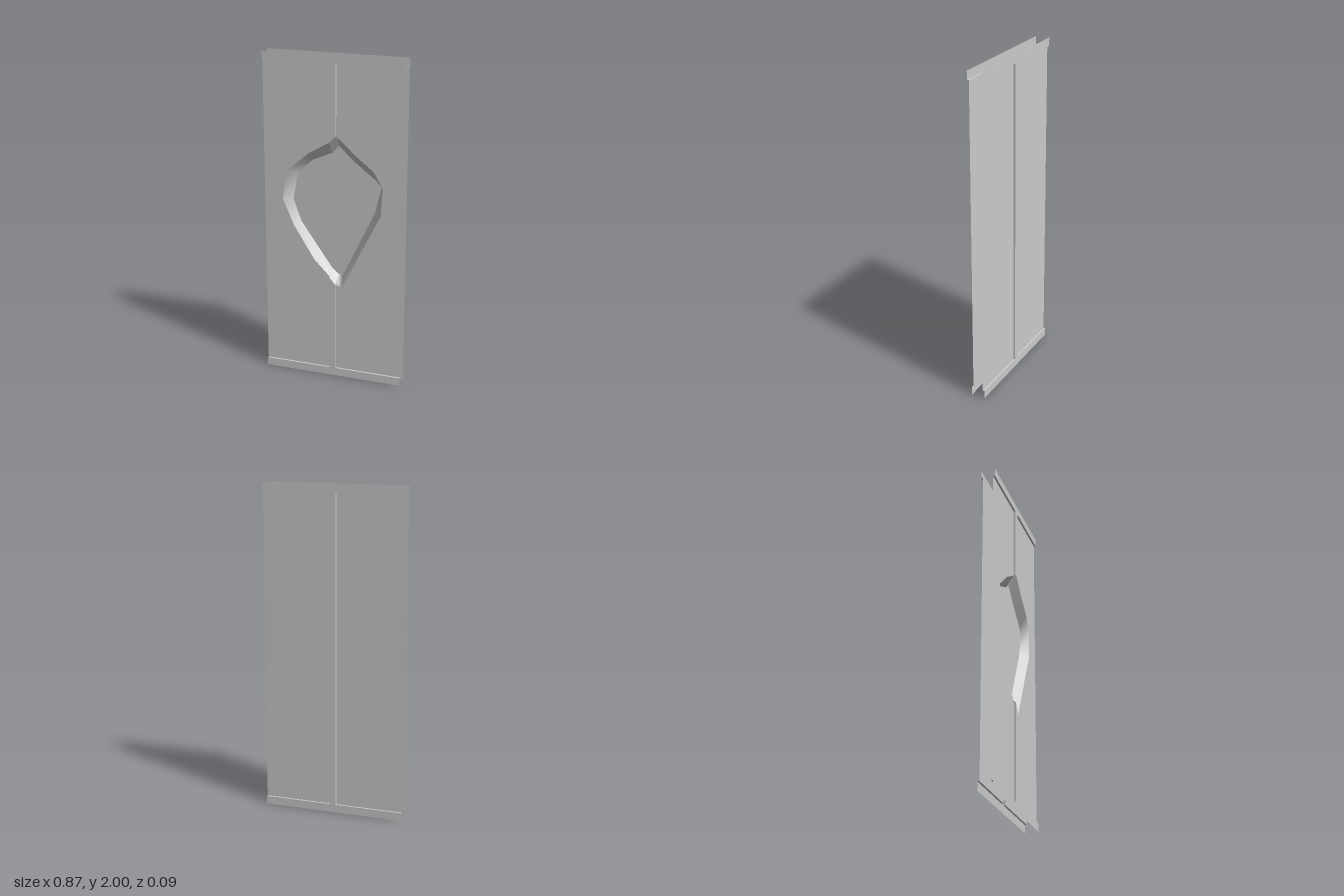
import * as THREE from 'three';

const W = 0.434, H = 2, STRIP = 0.05, POST = 0.02;   // half width, height, strip height, half post width
const FACE = 0.043, PANEL = 0.031, FLOOR = -0.017;   // depths of frame, inset panels, dent floor

// Dent outline, bottom to top: [outer x, outer y, inner x, inner y]
const LEFT = [
  [-0.02, 0.65, -0.02, 0.69], [-0.12, 0.75, -0.1, 0.8], [-0.25, 0.955, -0.22, 0.97],
  [-0.32, 1.115, -0.27, 1.105], [-0.285, 1.3, -0.24, 1.27], [-0.155, 1.41, -0.145, 1.36],
  [-0.02, 1.49, -0.02, 1.415],
];
const RIGHT = [
  [0.02, 0.605, 0.02, 0.655], [0.055, 0.585, 0.045, 0.65], [0.295, 1.07, 0.245, 1.07],
  [0.305, 1.245, 0.285, 1.235], [0.245, 1.34, 0.25, 1.27], [0.14, 1.42, 0.12, 1.37],
  [0.02, 1.53, 0.02, 1.46],
];

const material = new THREE.MeshStandardMaterial({ color: 0xcccccc, side: THREE.DoubleSide });

function addMesh(group, name, geometry) {
  const mesh = new THREE.Mesh(geometry, material);
  mesh.name = name;
  group.add(mesh);
}

// Flat sheet facing +z
function sheet(group, name, points, z) {
  const shape = new THREE.Shape(points.map(([x, y]) => new THREE.Vector2(x, y)));
  addMesh(group, name, new THREE.ShapeGeometry(shape).translate(0, 0, z));
}

// Wall between two lines of [x, y, z] points
function ribbon(group, name, a, b) {
  const index = [];
  const n = a.length;
  for (let i = 0; i < n - 1; i++) index.push(i, i + 1, n + i, i + 1, n + i + 1, n + i);
  const geometry = new THREE.BufferGeometry();
  geometry.setAttribute('position', new THREE.Float32BufferAttribute([...a, ...b].flat(), 3));
  geometry.setIndex(index);
  geometry.computeVertexNormals();
  addMesh(group, name, geometry);
}

// Step from the frame back to the inset panel
function step(group, name, p, q) {
  ribbon(group, name, [[...p, FACE], [...q, FACE]], [[...p, PANEL], [...q, PANEL]]);
}

const rect = (x0, y0, x1, y1) => [[x0, y0], [x1, y0], [x1, y1], [x0, y1]];
const outer = (list) => list.map(([x, y]) => [x, y]);
const inner = (list) => list.map(([, , x, y]) => [x, y]);
const atDepth = (points, z) => points.map((p) => [...p, z]);

function dentWall(group, name, list, z) {
  ribbon(group, name, atDepth(outer(list), z), atDepth(inner(list), FLOOR));
}

// One wall face: strips, centre post and two inset panels
function wallFace(name, dented) {
  const group = new THREE.Group();
  group.name = name;
  const lo = STRIP, hi = H - STRIP;
  sheet(group, 'bottomStrip', rect(-W, 0, W, lo), FACE);
  sheet(group, 'topStrip', rect(-W, hi, W, H), FACE);

  for (const [side, list, s] of [['left', RIGHT, 1], ['right', LEFT, -1]]) {
    const edge = dented ? outer(list) : [];
    sheet(group, side + 'Panel',
      [[s * W, lo], [s * POST, lo], ...edge, [s * POST, hi], [s * W, hi]], PANEL);
    step(group, side + 'PanelBottomStep', [s * POST, lo], [s * W, lo]);
    step(group, side + 'PanelTopStep', [s * W, hi], [s * POST, hi]);
    const spans = dented ? [[lo, edge[0][1]], [edge.at(-1)[1], hi]] : [[lo, hi]];
    for (const [y0, y1] of spans) step(group, side + 'PostSide', [s * POST, y0], [s * POST, y1]);
    if (dented) dentWall(group, side + 'DentWall', s > 0 ? list : [...list].reverse(), PANEL);
  }

  if (dented) {
    const [l0, l1, r0, r1] = [LEFT[0], LEFT.at(-1), RIGHT[0], RIGHT.at(-1)];
    sheet(group, 'lowerPost', [[-POST, lo], [POST, lo], [r0[0], r0[1]], [l0[0], l0[1]]], FACE);
    sheet(group, 'upperPost', [[l1[0], l1[1]], [r1[0], r1[1]], [POST, hi], [-POST, hi]], FACE);
    dentWall(group, 'lowerPostBreak', [l0, r0], FACE);
    dentWall(group, 'upperPostBreak', [r1, l1], FACE);
    sheet(group, 'dentFloor', [...inner(RIGHT), ...inner(LEFT).reverse()], FLOOR);
  } else {
    sheet(group, 'post', rect(-POST, lo, POST, hi), FACE);
  }
  return group;
}

export function createModel() {
  const model = new THREE.Group();
  model.name = 'dentedWallPanel';
  const back = wallFace('backFace', false);
  back.rotation.y = Math.PI;
  model.add(wallFace('frontFace', true), back);
  return model;
}
